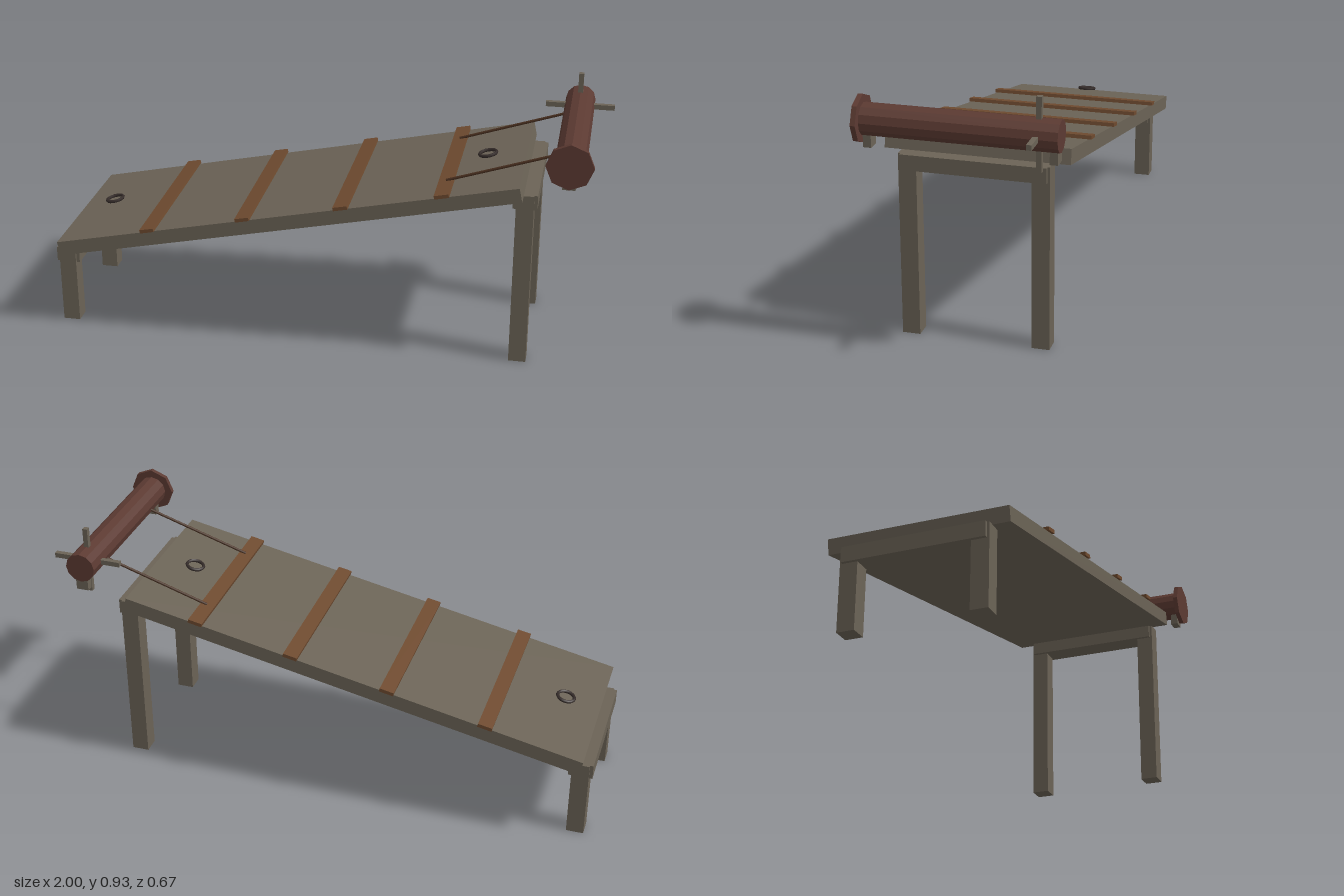
import * as THREE from 'three';

const mat = (name, color) => {
  const m = new THREE.MeshStandardMaterial({ color });
  m.name = name;
  return m;
};

export function createModel() {
  const wood = mat('weathered wood', 0x6b6356);
  const leather = mat('leather brown', 0x6e4a2f);
  const redWood = mat('dark red wood', 0x5c3a32);
  const iron = mat('dark iron', 0x352c2a);
  const rope = mat('rope brown', 0x4a3020);

  const model = new THREE.Group();
  model.name = 'rack table';
  const add = (name, geo, material, x, y, z, parent = model) => {
    const m = new THREE.Mesh(geo, material);
    m.name = name;
    m.position.set(x, y, z);
    parent.add(m);
    return m;
  };
  const box = (name, material, sx, sy, sz, x, y, z, parent) =>
    add(name, new THREE.BoxGeometry(sx, sy, sz), material, x, y, z, parent);
  const MID = -0.008; // centre line of the table

  // Low and high trestles: two legs and a crossbar each
  for (const [side, x, h] of [['low', -0.955, 0.292], ['high', 0.722, 0.65]]) {
    for (const s of [-1, 1])
      box(side + 'Leg', wood, 0.062, h, 0.062, x, h / 2, MID + s * 0.2265);
    box(side + 'Crossbar', wood, 0.086, 0.054, 0.498, x, h - 0.027, MID);
  }

  // Sloping bed; its parts are placed in the tilted frame
  const bed = new THREE.Group();
  bed.name = 'bed';
  bed.position.set(-0.1265, 0.4985, MID);
  bed.rotation.z = Math.atan(0.2126);
  model.add(bed);
  box('board', wood, 1.712, 0.053, 0.633, 0, 0, 0, bed);
  for (let i = 0; i < 4; i++)
    box('strap', leather, 0.052, 0.013, 0.65, -0.5 + i * 0.362, 0.033, 0, bed);
  for (const x of [-0.726, 0.717]) {
    const ring = add('ring', new THREE.TorusGeometry(0.031, 0.006, 6, 16), iron, x, 0.047, 0, bed);
    ring.rotation.x = Math.PI / 2;
  }

  // Winding roller with end flange
  const RX = 0.87, RY = 0.803;
  const drum = (name, r, sides, z0, z1) => {
    const g = new THREE.CylinderGeometry(r, r, z1 - z0, sides).toNonIndexed();
    g.computeVertexNormals();
    g.rotateX(Math.PI / 2);
    add(name, g, redWood, RX, RY, (z0 + z1) / 2);
  };
  drum('roller', 0.054, 12, -0.333, 0.32);
  drum('flange', 0.082, 8, 0.317, 0.334);

  // Bearing blocks beneath the roller
  for (const z of [-0.314, 0.301])
    box('bearingBlock', wood, 0.045, 0.06, 0.027, RX, 0.743, z);

  // Crossed handle spokes
  box('verticalSpoke', wood, 0.018, 0.25, 0.018, RX, RY, -0.262);
  box('horizontalSpoke', wood, 0.25, 0.018, 0.018, RX + 0.002, RY, -0.262);

  // Ropes from the last strap to the roller
  for (const z of [-0.21, 0.188]) {
    const path = new THREE.LineCurve3(
      new THREE.Vector3(0.44, 0.661, z), new THREE.Vector3(0.86, 0.8, z));
    add('rope', new THREE.TubeGeometry(path, 1, 0.005, 6), rope, 0, 0, 0);
  }
  return model;
}
